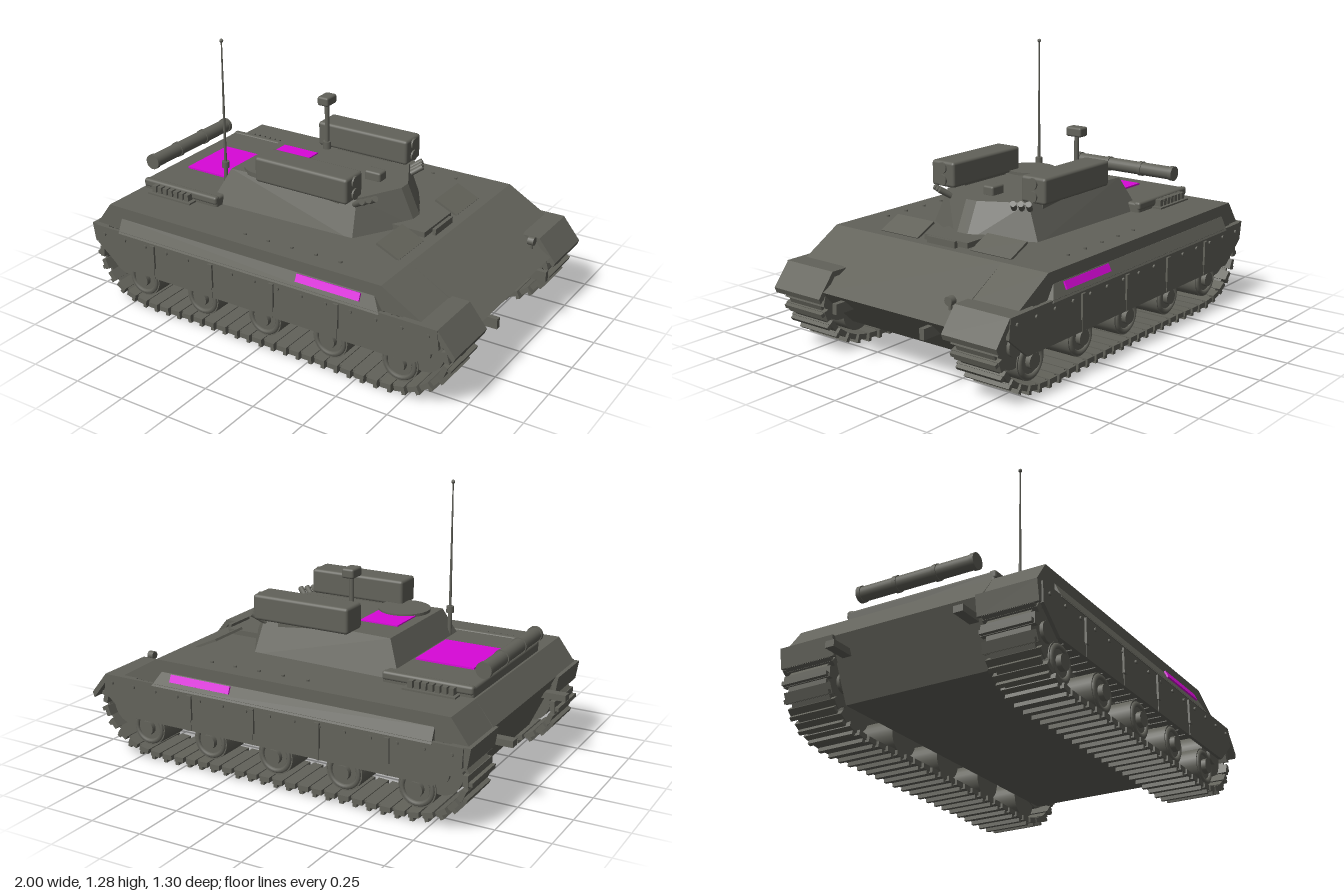
import * as THREE from 'three';
import { RoundedBoxGeometry } from 'three/addons/geometries/RoundedBoxGeometry.js';
import { ConvexGeometry } from 'three/addons/geometries/ConvexGeometry.js';

export function createModel() {
  const model = new THREE.Group();
  model.name = 'armouredVehicle';
  const olive = new THREE.MeshStandardMaterial({ color: 0x62625a });
  olive.name = 'olive grey';
  const magenta = new THREE.MeshStandardMaterial({ color: 0xd808d8 });
  magenta.name = 'magenta';

  const add = (name, geo, x = 0, y = 0, z = 0, mat = olive, parent = model) => {
    const mesh = new THREE.Mesh(geo, mat);
    mesh.name = name;
    mesh.position.set(x, y, z);
    parent.add(mesh);
    return mesh;
  };
  // Box given by its limits
  const box = (name, x0, x1, y0, y1, z0, z1, mat = olive) =>
    add(name, new THREE.BoxGeometry(x1 - x0, y1 - y0, Math.abs(z1 - z0)),
      (x0 + x1) / 2, (y0 + y1) / 2, (z0 + z1) / 2, mat);
  const rounded = (name, x0, x1, y0, y1, z0, z1, r) =>
    add(name, new RoundedBoxGeometry(x1 - x0, y1 - y0, Math.abs(z1 - z0), 2, r),
      (x0 + x1) / 2, (y0 + y1) / 2, (z0 + z1) / 2);
  // Side profile (x, y) extruded between two z positions
  const prism = (name, pts, za, zb) => {
    const shape = new THREE.Shape(pts.map(p => new THREE.Vector2(...p)));
    const depth = Math.abs(zb - za);
    return add(name, new THREE.ExtrudeGeometry(shape, { depth, bevelEnabled: false }), 0, 0, Math.min(za, zb));
  };
  // Cylinder lying along z
  const axle = (name, r, len, x, y, z, n = 24) =>
    add(name, new THREE.CylinderGeometry(r, r, len, n).rotateX(Math.PI / 2), x, y, z);
  const post = (name, r, y0, y1, x, z, n = 12) =>
    add(name, new THREE.CylinderGeometry(r, r, y1 - y0, n), x, (y0 + y1) / 2, z);

  // Hull
  prism('hull', [[-0.8, 0.125], [0.78, 0.125], [0.97, 0.31], [0.63, 0.5], [-0.84, 0.5], [-0.925, 0.39]], -0.37, 0.37);
  rounded('engineDeck', -0.83, -0.4, 0.47, 0.545, -0.37, 0.37, 0.012);
  box('enginePanel', -0.735, -0.455, 0.545, 0.553, -0.155, 0.155, magenta);
  box('noseBlock', 0.4, 0.565, 0.49, 0.525, -0.125, 0.125);
  box('visionBlock', 0.58, 0.597, 0.49, 0.53, -0.08, 0.08);

  // Stowage roll behind the deck
  axle('stowageRoll', 0.033, 0.58, -0.84, 0.602, 0);
  for (const z of [-0.285, -0.1, 0.1, 0.285]) axle('rollBand', 0.037, 0.02, -0.84, 0.602, z);

  // Track centre line, shared by both sides
  const path = new THREE.CatmullRomCurve3([
    [-0.68, 0.034], [-0.35, 0.034], [0, 0.034], [0.35, 0.034], [0.71, 0.034], [0.83, 0.078],
    [0.915, 0.16], [0.94, 0.245], [0.9, 0.315], [0.8, 0.345], [0, 0.345], [-0.78, 0.345],
    [-0.87, 0.315], [-0.91, 0.245], [-0.885, 0.15], [-0.8, 0.07],
  ].map(([x, y]) => new THREE.Vector3(x, y, 0)), true, 'centripetal');
  path.arcLengthDivisions = 800;

  for (const s of [-1, 1]) {
    // Sponson, fenders and side armour
    prism('sponson', [[-0.925, 0.385], [0.83, 0.385], [0.63, 0.5], [-0.84, 0.5]], s * 0.37, s * 0.61);
    prism('frontFender', [[0.74, 0.375], [0.74, 0.39], [0.91, 0.39], [0.995, 0.285], [0.985, 0.26], [0.9, 0.365]],
      s * 0.35, s * 0.635);
    prism('rearFender', [[-0.94, 0.39], [-0.85, 0.39], [-0.85, 0.37], [-0.905, 0.37], [-0.91, 0.3], [-0.925, 0.3]],
      s * 0.35, s * 0.63);
    prism('skirt', [[-0.91, 0.39], [0.91, 0.39], [0.92, 0.3], [0.8, 0.2], [-0.78, 0.2], [-0.905, 0.3]],
      s * 0.622, s * 0.638);
    const corners = [];
    for (const [x0, x1, y, z] of [[-0.77, 0.6, 0.445, 0.612], [-0.77, 0.64, 0.38, 0.642]])
      for (const x of [x0, x1]) corners.push(new THREE.Vector3(x, y, s * z), new THREE.Vector3(x, y, s * 0.6));
    add('sideArmour', new ConvexGeometry(corners));
    const mark = box('sideMarking', 0.22, 0.54, 0.41, 0.446, s * 0.624, s * 0.632, magenta);
    mark.rotation.x = -s * 0.43;
    for (let i = 0; i < 15; i++) axle('skirtBolt', 0.009, 0.012, -0.86 + i * 0.1236, 0.353, s * 0.64, 8);
    for (const x of [-0.568, -0.235, 0.097, 0.43]) {
      box('skirtStrap', x - 0.012, x + 0.012, 0.255, 0.37, s * 0.63, s * 0.648);
      box('skirtSeam', x - 0.004, x + 0.004, 0.2, 0.37, s * 0.63, s * 0.641);
    }
    for (let i = 0; i < 5; i++) post('deckBolt', 0.008, 0.495, 0.508, -0.12 + i * 0.125, s * 0.525, 8);

    // Running gear
    for (let i = 0; i < 5; i++) {
      const x = -0.68 + i * 0.3475;
      axle('roadWheel', 0.088, 0.17, x, 0.145, s * 0.495, 28);
      const rim = add('wheelRim', new THREE.TorusGeometry(0.07, 0.012, 6, 28), x, 0.145, s * 0.58);
      rim.scale.z = 0.8;
      axle('wheelHub', 0.035, 0.03, x, 0.145, s * 0.588, 16);
    }
    for (const [x, y] of [[-0.785, 0.235], [0.815, 0.235]]) {
      axle('endWheel', 0.1, 0.17, x, y, s * 0.49, 20);
      axle('endHub', 0.045, 0.2, x, y, s * 0.49, 16);
    }
    const track = new THREE.Group();
    track.name = 'track';
    model.add(track);
    const pad = new THREE.BoxGeometry(0.05, 0.024, 0.245);
    const cleat = new THREE.BoxGeometry(0.018, 0.02, 0.235);
    const count = 60;
    for (let i = 0; i < count; i++) {
      const p = path.getPointAt(i / count), t = path.getTangentAt(i / count);
      const link = new THREE.Group();
      link.name = 'trackLink';
      link.position.set(p.x, p.y, s * 0.488);
      link.rotation.z = Math.atan2(t.y, t.x);
      add('trackPad', pad, 0, 0, 0, olive, link);
      add('trackCleat', cleat, 0.014, -0.02, 0, olive, link);
      add('trackPin', new THREE.BoxGeometry(0.035, 0.012, 0.2), 0.03, 0.002, 0, olive, link);
      track.add(link);
    }

    // Exhausts, hatches and hooks
    box('exhaustTray', -0.77, -0.52, 0.495, 0.508, s * 0.36, s * 0.42);
    rounded('exhaustBox', -0.83, -0.4, 0.51, 0.55, s * 0.34, s * 0.375, 0.012);
    for (let i = 0; i < 7; i++)
      box('exhaustSlat', -0.755 + i * 0.032, -0.732 + i * 0.032, 0.505, 0.54, s * 0.37, s * 0.405);
    prism('driverFlap', [[0.463, 0.545], [0.468, 0.555], [0.58, 0.503], [0.575, 0.495]], s * 0.155, s * 0.375);
    box('rearHook', -1, -0.88, 0.3, 0.33, s * 0.29, s * 0.335);
    box('frontHook', 0.9, 1, 0.24, 0.288, s * 0.238, s * 0.263);

    // Missile launcher with two tubes and its bracket
    rounded('launcher', -0.205, 0.285, 0.665, 0.785, s * 0.195, s * 0.33, 0.014);
    box('launcherBracket', -0.1, 0.2, 0.62, 0.68, s * 0.2, s * 0.255);
    for (const y of [0.697, 0.754]) {
      const tube = add('launcherTube', new THREE.CylinderGeometry(0.026, 0.026, 0.03, 20), 0.278, y, s * 0.262);
      tube.rotation.z = Math.PI / 2;
    }
    // Smoke dischargers on the turret cheeks
    for (let i = 0; i < 3; i++) {
      const tube = add('smokeTube', new THREE.CylinderGeometry(0.014, 0.014, 0.08, 10),
        0.3 + i * 0.017, 0.652, s * (0.255 - i * 0.03));
      tube.quaternion.setFromUnitVectors(new THREE.Vector3(0, 1, 0),
        new THREE.Vector3(0.7, 0.5, s * 0.45).normalize());
    }
  }

  // Headlight
  const lamp = add('headlight', new THREE.CylinderGeometry(0.02, 0.02, 0.03, 16), 0.89, 0.39, -0.31);
  lamp.rotation.z = Math.PI / 2;
  post('headlightStem', 0.008, 0.33, 0.39, 0.89, -0.31, 8);

  // Faceted turret with a pointed nose
  const turret = [];
  for (const [y, rear, rz, side, sz, tip] of [[0.49, -0.465, 0.33, 0.3, 0.305, 0.47], [0.663, -0.385, 0.265, 0.28, 0.235, 0.39]]) {
    turret.push(new THREE.Vector3(tip, y, 0.03), new THREE.Vector3(tip, y, -0.03));
    for (const s of [-1, 1])
      turret.push(new THREE.Vector3(rear, y, s * rz), new THREE.Vector3(side, y, s * sz));
  }
  add('turret', new ConvexGeometry(turret));
  box('turretPanel', -0.335, -0.145, 0.662, 0.669, -0.1, 0.08, magenta);
  post('commanderHatch', 0.122, 0.655, 0.677, -0.24, 0.155, 32);
  rounded('sight', 0.193, 0.277, 0.655, 0.705, -0.03, 0.03, 0.01);

  // Periscope mast
  post('periscopeBase', 0.02, 0.655, 0.7, -0.147, -0.185);
  post('periscopeMast', 0.011, 0.66, 0.9, -0.147, -0.185);
  rounded('periscopeHead', -0.177, -0.117, 0.89, 0.935, -0.227, -0.143, 0.01);

  // Whip antenna
  post('antennaBase', 0.018, 0.655, 0.685, -0.43, 0.25);
  post('antennaFoot', 0.01, 0.54, 0.66, -0.43, 0.25);
  add('antennaWhip', new THREE.CylinderGeometry(0.003, 0.007, 0.6, 8), -0.43, 0.975, 0.25);
  add('antennaTip', new THREE.SphereGeometry(0.009, 10, 8), -0.43, 1.272, 0.25);

  return model;
}
